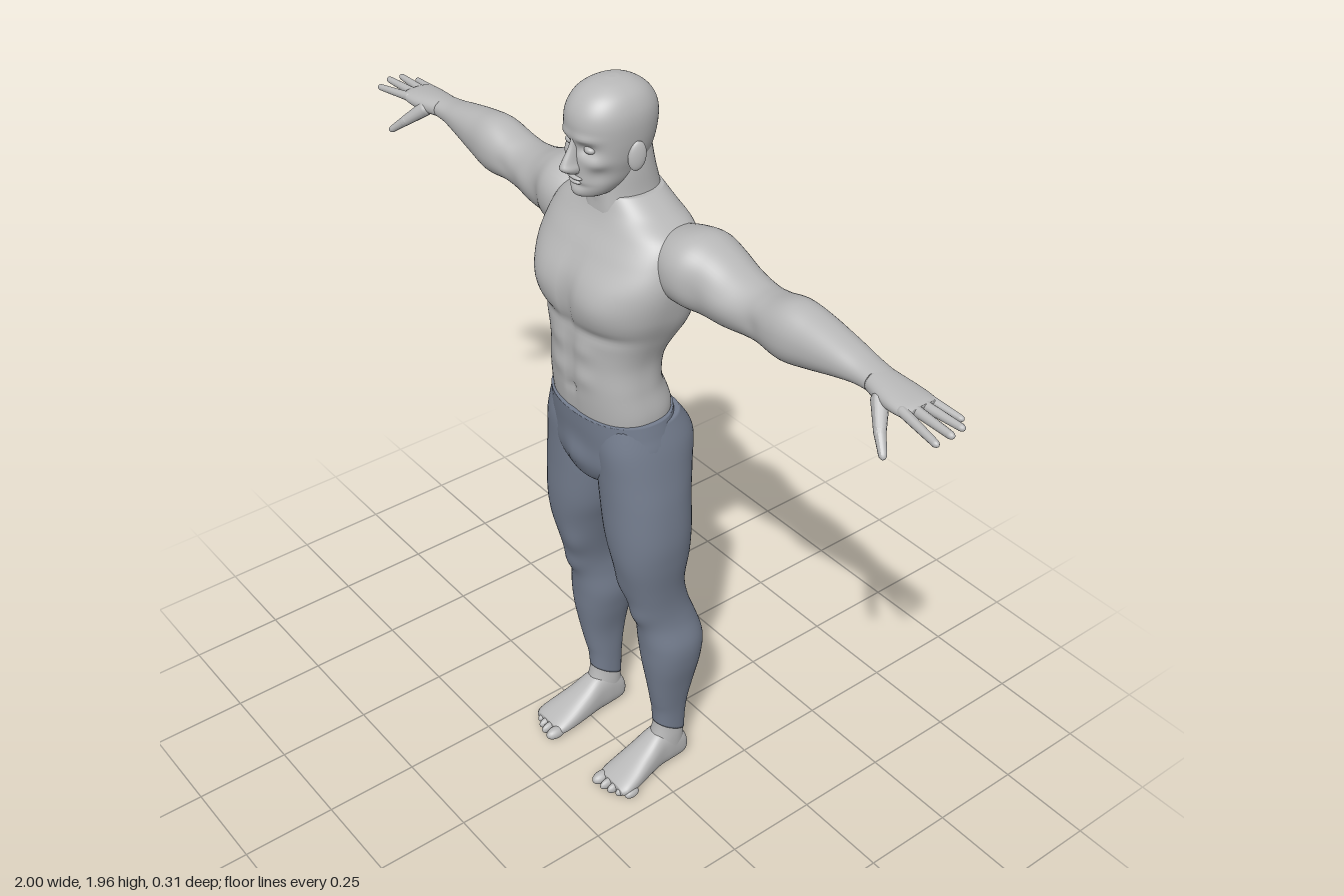
import * as THREE from 'three';

const skin = new THREE.MeshStandardMaterial({ color: 0xb8b8b8 });
skin.name = 'skin';
const cloth = new THREE.MeshStandardMaterial({ color: 0x747d8e });
cloth.name = 'cloth';

// Smooth value of one column between cross-sections
function spline(p0, p1, p2, p3, f) {
  const a = (p2 - p0) / 2, b = (p3 - p1) / 2;
  return p1 + f * (a + f * (3 * (p2 - p1) - 2 * a - b + f * (2 * (p1 - p2) + a + b)));
}

// Closed loft; rows are [t, aMin, aMax, bMin, bMax], map turns (t, a, b) into a point.
// Bumps are [x, y, z, rx, ry, rz, height], mirrored in x.
function loft(rows, map, { seg = 40, sub = 6, n = 2.2, bumps = [] } = {}) {
  const pos = [], idx = [], at = i => rows[Math.max(0, Math.min(rows.length - 1, i))];
  const rings = (rows.length - 1) * sub + 1;
  for (let r = 0; r < rings; r++) {
    const i = Math.min(Math.floor(r / sub), rows.length - 2), f = r / sub - i;
    const [t, a0, a1, b0, b1] = rows[0].map((_, k) => spline(at(i - 1)[k], at(i)[k], at(i + 1)[k], at(i + 2)[k], f));
    for (let j = 0; j < seg; j++) {
      const th = j / seg * Math.PI * 2, c = Math.cos(th), s = Math.sin(th);
      const u = Math.sign(c) * Math.abs(c) ** (2 / n), v = Math.sign(s) * Math.abs(s) ** (2 / n);
      pos.push(...map(t, (a0 + a1) / 2 + u * (a1 - a0) / 2, (b0 + b1) / 2 + v * (b1 - b0) / 2));
      if (r < rings - 1) {
        const p = r * seg + j, q = r * seg + (j + 1) % seg;
        idx.push(p, p + seg, q, q, p + seg, q + seg);
      }
    }
  }
  for (const [row, base] of [[rows[0], 0], [rows[rows.length - 1], (rings - 1) * seg]]) {
    const c = pos.length / 3;
    pos.push(...map(row[0], (row[1] + row[2]) / 2, (row[3] + row[4]) / 2));
    for (let j = 0; j < seg; j++) {
      const p = base + j, q = base + (j + 1) % seg;
      idx.push(...(base ? [c, q, p] : [c, p, q]));
    }
  }
  // Turn the faces outward according to the enclosed volume
  const P = k => new THREE.Vector3(pos[k * 3], pos[k * 3 + 1], pos[k * 3 + 2]);
  const centre = P(pos.length / 3 - 1);
  let volume = 0;
  for (let k = 0; k < idx.length; k += 3) {
    const [a, b, c] = [0, 1, 2].map(m => P(idx[k + m]).sub(centre));
    volume += a.dot(b.cross(c));
  }
  if (volume < 0) idx.reverse();
  const g = new THREE.BufferGeometry();
  g.setAttribute('position', new THREE.Float32BufferAttribute(pos, 3));
  g.setIndex(idx);
  g.computeVertexNormals();
  if (bumps.length) {
    const p = g.attributes.position, m = g.attributes.normal;
    for (let k = 0; k < p.count; k++) {
      const x = p.getX(k), y = p.getY(k), z = p.getZ(k);
      let h = 0;
      for (const [bx, by, bz, rx, ry, rz, amt] of bumps)
        h += amt * Math.exp(-(((Math.abs(x) - bx) / rx) ** 2) - ((y - by) / ry) ** 2 - ((z - bz) / rz) ** 2);
      p.setXYZ(k, x + m.getX(k) * h, y + m.getY(k) * h, z + m.getZ(k) * h);
    }
    g.computeVertexNormals();
  }
  return g;
}

export function createModel() {
  const model = new THREE.Group();
  model.name = 'standingMan';
  const add = (name, geo, mat = skin) => {
    const mesh = new THREE.Mesh(geo, mat);
    mesh.name = name;
    model.add(mesh);
    return mesh;
  };
  const ball = (name, x, y, z, rx, ry, rz) => {
    const mesh = add(name, new THREE.SphereGeometry(1, 20, 14));
    mesh.position.set(x, y, z);
    mesh.scale.set(rx, ry, rz);
    return mesh;
  };
  // Tapered rounded rod between two points
  const rod = (name, from, to, r0, r1) => {
    const a = new THREE.Vector3(...from), b = new THREE.Vector3(...to), d = b.clone().sub(a), len = d.length();
    const g = new THREE.CapsuleGeometry(r0, len, 6, 14, 4), p = g.attributes.position;
    for (let k = 0; k < p.count; k++) {
      const f = THREE.MathUtils.lerp(1, r1 / r0, THREE.MathUtils.clamp(p.getY(k) / len + 0.5, 0, 1));
      p.setX(k, p.getX(k) * f);
      p.setZ(k, p.getZ(k) * f);
    }
    g.computeVertexNormals();
    const mesh = add(name, g);
    mesh.position.copy(a.add(b).multiplyScalar(0.5));
    mesh.quaternion.setFromUnitVectors(new THREE.Vector3(0, 1, 0), d.normalize());
  };
  const upright = (t, a, b) => [a, t, b];
  const sym = rows => rows.map(([y, w, z0, z1]) => [y, -w, w, z0, z1]);

  // Torso with chest, belly and back muscles
  add('torso', loft(sym([
    [1.10, .152, -.09, .112], [1.17, .158, -.10, .124], [1.24, .149, -.075, .131], [1.31, .147, -.082, .132],
    [1.38, .168, -.108, .134], [1.45, .198, -.134, .143], [1.52, .213, -.14, .136], [1.58, .21, -.14, .105],
    [1.63, .19, -.135, .072], [1.665, .13, -.122, .055], [1.70, .078, -.105, .045]]), upright, {
    seg: 72, sub: 8, n: 2.4, bumps: [
      [.09, 1.475, .13, .075, .055, .06, .014], [0, 1.47, .14, .016, .09, .06, -.008],
      [.09, 1.395, .13, .1, .016, .06, -.006], [0, 1.28, .13, .012, .12, .05, -.005],
      [.045, 1.34, .13, .03, .024, .05, .005], [.045, 1.265, .13, .03, .024, .05, .005],
      [0, 1.22, .13, .012, .014, .05, -.006], [0, 1.38, -.12, .022, .22, .06, -.014],
      [.11, 1.52, -.13, .05, .07, .05, .01], [.05, 1.24, -.08, .03, .08, .05, .007],
      [.17, 1.42, -.05, .05, .07, .06, .01]]
  }));
  add('neck', loft(sym([[1.60, .085, -.12, .06], [1.65, .078, -.113, .058], [1.70, .07, -.104, .054],
    [1.76, .067, -.088, .052], [1.83, .06, -.075, .04]]), upright, {
    bumps: [[.035, 1.68, .05, .015, .06, .04, .005], [0, 1.70, .055, .012, .014, .03, .005]]
  }));

  // Head and face
  add('head', loft(sym([
    [1.703, .022, .04, .085], [1.714, .04, .005, .104], [1.74, .057, -.035, .112], [1.77, .067, -.06, .113],
    [1.80, .076, -.08, .114], [1.84, .083, -.091, .116], [1.88, .085, -.094, .118], [1.91, .079, -.086, .109],
    [1.935, .064, -.066, .088], [1.952, .039, -.036, .056], [1.959, .01, -.005, .02]]), upright, {
    seg: 80, sub: 8, bumps: [
      [.033, 1.825, .105, .02, .014, .04, -.014], [.03, 1.85, .11, .028, .01, .04, .005],
      [.05, 1.795, .09, .02, .016, .03, .006], [.052, 1.765, .085, .018, .022, .03, -.005],
      [0, 1.718, .11, .022, .013, .03, .007], [0, 1.737, .112, .03, .006, .03, -.004]]
  }));
  add('nose', loft(sym([[1.852, .007, .085, .116], [1.825, .009, .085, .126], [1.795, .013, .085, .144],
    [1.78, .018, .085, .148], [1.768, .015, .085, .132], [1.762, .008, .085, .115]]), upright, { seg: 24 }));
  ball('upperLip', 0, 1.755, .110, .024, .0055, .010);
  ball('lowerLip', 0, 1.745, .109, .020, .006, .010);

  // Hips, closing between the legs
  add('hips', loft(sym([[1.157, .167, -.108, .131], [1.12, .174, -.112, .128], [1.07, .182, -.11, .122],
    [1.01, .165, -.09, .118], [.96, .09, -.06, .1], [.925, .03, -.03, .06]]), upright, {
    seg: 56, bumps: [[0, 1.03, .12, .035, .04, .04, .01]]
  }), cloth);

  for (const s of [1, -1]) {
    const side = s > 0 ? 'left' : 'right';
    const up = (t, a, b) => [s * a, t, b];
    const along = (t, a, b) => [s * t, a, b];
    const forward = (t, a, b) => [s * a, b, t];
    // The trouser hem is higher in front than behind
    const hem = (t, a, b) => [s * a, t + Math.max(0, 1 - (t - .13) / .1) * (b + .07) * .6, b];

    ball(side + 'Eye', s * .033, 1.825, .094, .015, .009, .012);
    const ear = ball(side + 'Ear', s * .085, 1.805, .008, .009, .034, .021);
    ear.rotation.set(-.15, s * -.3, 0);

    add(side + 'TrouserLeg', loft([
      [1.145, .012, .166, -.10, .105], [1.08, .001, .184, -.137, .113], [1.0, .001, .197, -.13, .108],
      [.92, .005, .208, -.12, .104], [.82, .02, .214, -.117, .10], [.74, .045, .208, -.112, .09],
      [.65, .068, .195, -.10, .066], [.58, .08, .19, -.113, .046], [.52, .078, .195, -.135, .028],
      [.45, .07, .213, -.153, .019], [.38, .08, .209, -.15, .012], [.29, .098, .19, -.135, -.003],
      [.20, .102, .175, -.12, -.02], [.13, .103, .171, -.117, -.025]], hem, {
      seg: 48, bumps: [[.135, .56, .04, .03, .035, .04, .008], [.10, .66, .06, .03, .05, .04, .008],
        [.14, .5, -.12, .016, .1, .04, -.006]]
    }), cloth);

    // Foot with ankle and toes
    add(side + 'Ankle', loft([[.22, .11, .168, -.108, -.028], [.15, .108, .168, -.11, -.026],
      [.10, .102, .172, -.115, -.015], [.05, .10, .172, -.118, 0]], up));
    add(side + 'Foot', loft([[-.127, .12, .15, .02, .05], [-.112, .106, .166, .004, .085], [-.07, .099, .172, 0, .12],
      [-.03, .096, .175, 0, .122], [.02, .09, .185, 0, .092], [.07, .086, .196, 0, .064],
      [.108, .087, .199, .002, .045], [.125, .095, .19, .008, .034]], forward, { n: 2.5 }));
    for (let i = 0; i < 5; i++)
      ball(side + 'Toe', s * (.104 + i * .0215 + (i ? .006 : 0)), .018 - i * .001, .126 - i * i * .0018,
        i ? .0115 : .017, .017 - i * .001, .03 - i * .002);

    // Arm from shoulder to wrist
    add(side + 'Arm', loft([
      [.12, 1.53, 1.635, -.12, .01], [.19, 1.495, 1.658, -.143, .035], [.24, 1.488, 1.664, -.15, .036],
      [.29, 1.487, 1.65, -.145, .02], [.35, 1.486, 1.626, -.138, .005], [.41, 1.493, 1.614, -.132, -.005],
      [.46, 1.501, 1.62, -.127, 0], [.53, 1.497, 1.64, -.122, .006], [.60, 1.512, 1.632, -.118, -.002],
      [.68, 1.535, 1.617, -.108, -.012], [.74, 1.548, 1.604, -.10, -.02], [.80, 1.552, 1.598, -.093, -.02]], along, {
      seg: 48, bumps: [[.29, 1.56, .01, .03, .05, .04, -.005], [.36, 1.56, 0, .05, .03, .04, .006],
        [.45, 1.56, 0, .025, .03, .04, -.005], [.36, 1.54, -.13, .06, .03, .04, .005]]
    }));

    // Hand with spread fingers
    add(side + 'Palm', loft([[.77, 1.552, 1.6, -.095, -.02], [.81, 1.55, 1.598, -.098, -.01],
      [.85, 1.552, 1.595, -.1, -.004], [.885, 1.558, 1.591, -.098, -.004], [.9, 1.566, 1.586, -.092, -.01]], along));
    for (const [z0, x1, y1, z1, r] of [[-.015, .983, 1.568, .002, .0115], [-.039, .99, 1.577, -.03, .012],
      [-.063, .985, 1.577, -.064, .0115], [-.086, .957, 1.57, -.093, .01]])
      rod(side + 'Finger', [s * .88, 1.576, z0], [s * x1, y1, z1], r, r * .7);
    rod(side + 'ThumbBase', [s * .815, 1.565, -.02], [s * .855, 1.527, .015], .019, .013);
    rod(side + 'Thumb', [s * .853, 1.529, .014], [s * .885, 1.5, .034], .013, .009);
  }
  return model;
}
